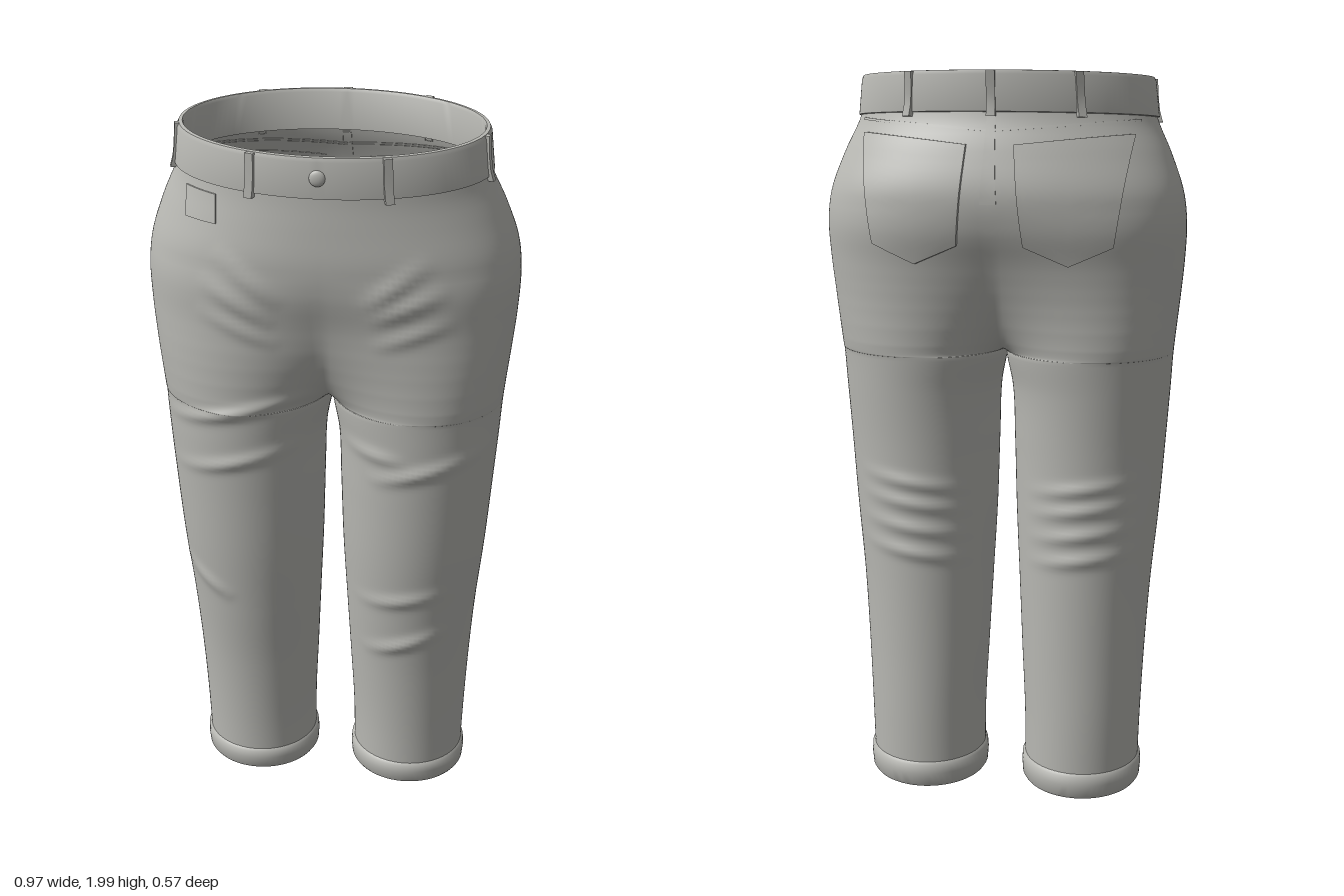
import * as THREE from 'three';
import { mergeVertices, toCreasedNormals } from 'three/addons/utils/BufferGeometryUtils.js';

// Body sections: height, outer x, inner leg x, front z, back z
const SECTIONS = [
  [0, .385, .062, .14, -.185], [.2, .39, .06, .145, -.185], [.4, .398, .05, .16, -.183],
  [.6, .41, .04, .185, -.183], [.8, .428, .03, .208, -.185], [1, .442, .024, .222, -.19],
  [1.15, .452, .018, .23, -.2], [1.25, .458, 0, .233, -.21], [1.4, .473, 0, .237, -.222],
  [1.5, .482, 0, .242, -.24], [1.6, .485, 0, .26, -.27], [1.68, .475, 0, .268, -.28],
  [1.78, .44, 0, .266, -.255], [1.88, .397, 0, .262, -.222], [1.98, .386, 0, .266, -.232],
];
const CROTCH = 1.25;
const curve = new THREE.CubicInterpolant(SECTIONS.map(s => s[0]), SECTIONS.flatMap(s => s.slice(1)), 4);

// Cloth folds: face (1 front, -1 back), start x y, end x y, height
const FOLDS = [
  [1, -.25, 1.69, -.12, 1.58, .01], [1, -.29, 1.61, -.14, 1.52, .01], [1, -.3, 1.53, -.13, 1.46, .008],
  [1, .26, 1.69, .12, 1.58, .01], [1, .3, 1.61, .14, 1.54, .01], [1, .32, 1.53, .15, 1.47, .008],
  [1, -.46, 1.2, -.05, 1.29, .012], [1, -.4, 1.06, -.08, 1.14, .01],
  [1, .05, 1.15, .2, 1.14, .01], [1, .14, 1.07, .42, 1.15, .012],
  [1, -.42, .74, -.28, .66, .012], [1, .1, .66, .32, .71, .01], [1, .12, .49, .32, .57, .012],
];
for (const side of [-1, 1]) for (const y of [.7, .77, .84, .9])
  FOLDS.push([-1, side * .1, y - .02, side * .36, y + .015, .009]);

function foldHeight(face, x, y) {
  let sum = 0;
  for (const [f, x1, y1, x2, y2, h] of FOLDS) {
    if (f !== face) continue;
    const dx = x2 - x1, dy = y2 - y1;
    const k = THREE.MathUtils.clamp(((x - x1) * dx + (y - y1) * dy) / (dx * dx + dy * dy), 0, 1);
    const d2 = (x - x1 - k * dx) ** 2 + (y - y1 - k * dy) ** 2;
    sum += h * Math.sin(Math.PI * (.1 + .8 * k)) * Math.exp(-d2 / .00035);
  }
  return sum;
}

const signedPow = (v, e) => Math.sign(v) * Math.abs(v) ** e;

// Unit depth around half a section: closed leg loop opening into half a hip oval
function openness(y) {
  return THREE.MathUtils.clamp((y - CROTCH) / .4, 0, 1) ** .3;
}
const roundness = y => THREE.MathUtils.lerp(.85, 1, THREE.MathUtils.smoothstep(y, 1.6, 1.86));
const rawDepth = (t, w, e) => (1 - w) * Math.sin(2 * Math.PI * t) + w * signedPow(Math.cos(Math.PI * t), e);

// Surface point: t runs front centre -> outer side -> back centre
function bodyPoint(t, y, side = 1, off = 0) {
  let [xo, xi, zf, zb] = curve.evaluate(y);
  xo += off; zf += off; zb -= off;
  xi = y < CROTCH ? Math.max(0, xi - off) : 0;
  const w = openness(y), e = roundness(y);
  let peak = 0;
  for (let k = 0; k <= 20; k++) peak = Math.max(peak, rawDepth(k / 40, w, e));
  const depth = rawDepth(t, w, e) / peak;
  const legX = (xo + xi) / 2 - (xo - xi) / 2 * Math.cos(2 * Math.PI * t);
  const x = side * ((1 - w) * legX + w * xo * signedPow(Math.sin(Math.PI * t), e));
  let z = (zf + zb) / 2 + (zf - zb) / 2 * depth;
  z += depth * foldHeight(Math.sign(depth), x, y);
  const waistTilt = -.08 * z * THREE.MathUtils.smoothstep(y, 1.6, 1.88);
  const hemTilt = .05 * (z + .195) * (1 - THREE.MathUtils.smoothstep(y, 0, .2));
  return [x, y + waistTilt + hemTilt, z];
}

// Grid of points to geometry, on one or both sides
function gridGeometry(nu, nv, sides, fn) {
  const pos = [], idx = [];
  for (const side of sides) {
    const base = pos.length / 3;
    for (let i = 0; i <= nv; i++) for (let j = 0; j <= nu; j++) pos.push(...fn(j, i, side));
    for (let i = 0; i < nv; i++) for (let j = 0; j < nu; j++) {
      const a = base + i * (nu + 1) + j, b = a + 1, c = a + nu + 1, d = c + 1;
      if (side > 0) idx.push(a, b, c, b, d, c);
      else idx.push(a, c, b, b, c, d);
    }
  }
  const g = new THREE.BufferGeometry();
  g.setAttribute('position', new THREE.Float32BufferAttribute(pos, 3));
  g.setIndex(idx);
  const merged = mergeVertices(g, 1e-5);
  merged.computeVertexNormals();
  return merged;
}

// Loops around the body at [height, offset] rows
const sweep = (rows, n, sides = [1, -1]) =>
  gridGeometry(n, rows.length - 1, sides, (j, i, s) => bodyPoint(j / n, rows[i][0], s, rows[i][1]));

// Thin raised plate lying on the body; fn(u, v) gives [t, y]
function plate(fn, nu, nv, side, height) {
  const inner = (k, n) => THREE.MathUtils.clamp((k - 1) / (n - 2), 0, 1);
  return toCreasedNormals(gridGeometry(nu, nv, [side], (j, i, s) => {
    const edge = j === 0 || i === 0 || j === nu || i === nv;
    const [t, y] = fn(inner(j, nu), inner(i, nv));
    return bodyPoint(t, y, s, edge ? -.003 : height);
  }), .7);
}

// Loop parameter at a given x on the front or back
function paramAt(x, y, back) {
  let mid = back ? 1 : 0, out = .5;
  for (let k = 0; k < 24; k++) {
    const t = (mid + out) / 2;
    if (bodyPoint(t, y)[0] > x) out = t; else mid = t;
  }
  return (mid + out) / 2;
}

export function createModel() {
  const group = new THREE.Group();
  const cloth = new THREE.MeshStandardMaterial({ color: 0xb8b8b3, side: THREE.DoubleSide });
  cloth.name = 'grey cloth';
  const add = (name, geometry) => {
    const mesh = new THREE.Mesh(geometry, cloth);
    mesh.name = name;
    group.add(mesh);
    return mesh;
  };
  const lerp = THREE.MathUtils.lerp;

  // Legs and hips in one skin, rows crowded at the crotch
  const rows = [];
  for (let i = 0; i <= 110; i++) rows.push([.01 + (CROTCH - .01) * i / 110, 0]);
  for (let i = 1; i <= 60; i++) rows.push([CROTCH + .63 * (i / 60) ** 2, 0]);
  add('legsAndHips', sweep(rows, 88));

  // Waistband
  add('waistband', toCreasedNormals(sweep([[1.872, -.002], [1.874, .006], [1.965, .007], [1.975, .003],
    [1.976, -.006], [1.968, -.01], [1.872, -.01]], 64), .7));

  // Turned hems
  add('hems', toCreasedNormals(sweep([[.08, -.012], [.006, -.012], [0, -.006], [0, .002], [.008, .007],
    [.04, .009], [.066, .007], [.074, -.001]], 64), .9));

  // Belt loops
  const loop = (t, side, half = .009) => add('beltLoop',
    plate((u, v) => [t + (u - .5) * 2 * half, lerp(1.862, 1.974, v)], 4, 6, side, .014));
  for (const side of [-1, 1]) [.137, .436, .814].forEach(t => loop(t, side));
  loop(1, 1);

  // Back pockets with pointed lower edge, and yoke seams above
  for (const side of [-1, 1]) {
    add('backPocket', plate((u, v) => {
      const bottom = 1.555 - .05 * (1 - Math.abs(2 * u - 1));
      const y = lerp(bottom, lerp(1.795, 1.825, u), v);
      return [paramAt(lerp(lerp(.31, .35, v), lerp(.085, .06, v), 1 - u), y, true), y];
    }, 18, 18, -side, .009));
    add('yokeSeam', plate((u, v) => [lerp(.64, 1, u), lerp(1.858, 1.825, u) + .006 * v], 24, 4, side, .003));
  }
  add('backSeam', plate((u, v) => [lerp(.991, 1.009, u), lerp(1.66, 1.865, v)], 4, 14, 1, .003));

  // Small front pocket on the right
  add('coinPocket', plate((u, v) => {
    const y = lerp(1.775, 1.85, v);
    return [paramAt(lerp(.26, .345, u), y, false), y];
  }, 10, 8, -1, .004));

  // Waist button
  const button = add('button', new THREE.SphereGeometry(.02, 20, 12));
  const [, by, bz] = bodyPoint(0, 1.926, 1, .008);
  button.position.set(0, by, bz);
  button.scale.z = .4;

  return group;
}
